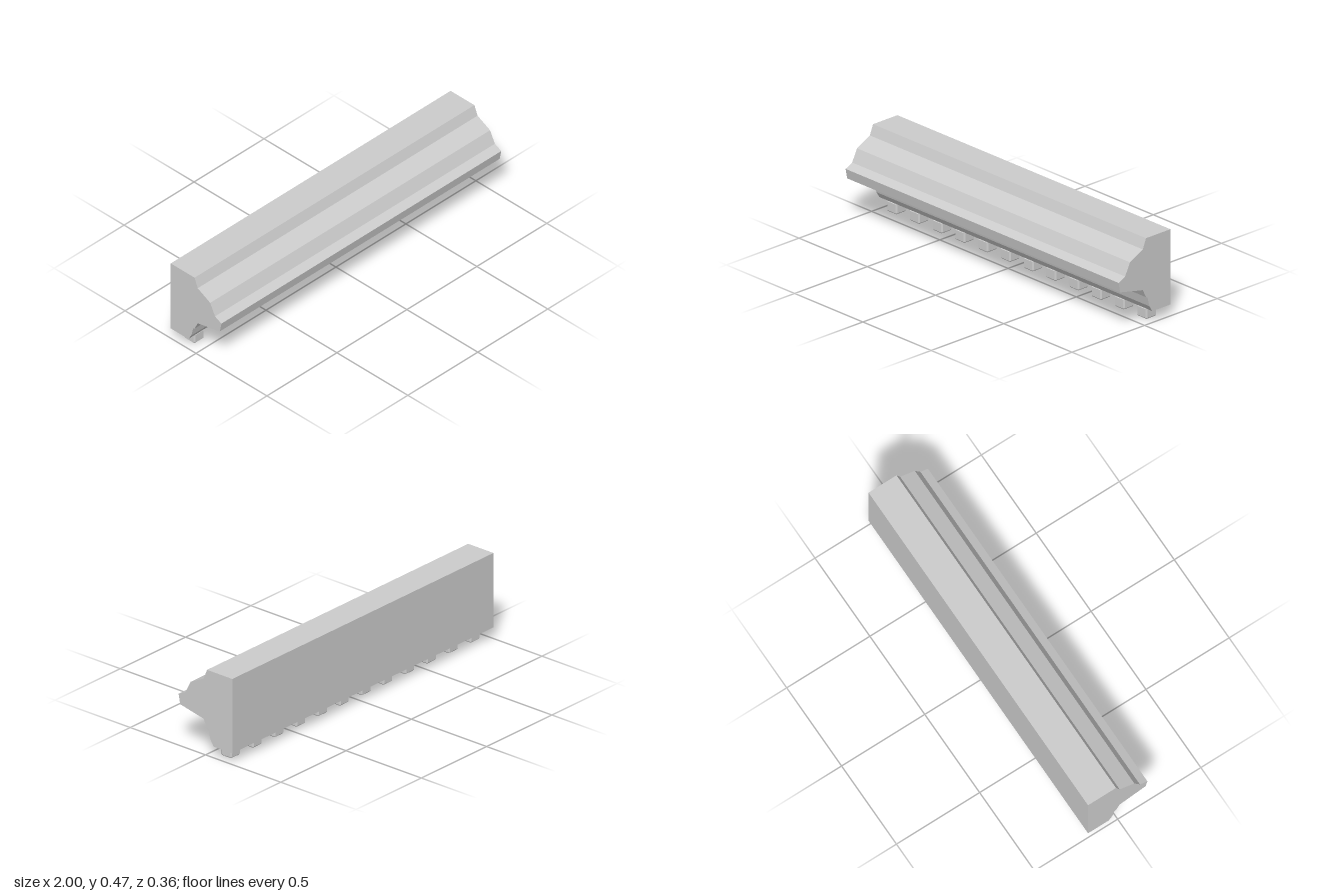
import * as THREE from 'three';
import { ConvexGeometry } from 'three/addons/geometries/ConvexGeometry.js';

const material = new THREE.MeshStandardMaterial({ color: 0xcccccc, flatShading: true });

// Box with every edge and corner chamfered by c
function chamferedBox(w, h, d, c) {
  const points = [];
  for (const sx of [-1, 1]) for (const sy of [-1, 1]) for (const sz of [-1, 1]) {
    for (let axis = 0; axis < 3; axis++) {
      const p = [w / 2, h / 2, d / 2].map((v, i) => (i === axis ? v : v - c));
      points.push(new THREE.Vector3(sx * p[0], sy * p[1], sz * p[2]));
    }
  }
  return new ConvexGeometry(points);
}

export function createModel() {
  const group = new THREE.Group();

  // Moulding cross-section as (z, y), swept along x
  const profile = [
    [-0.178, 0.062], [-0.054, 0.062], [-0.033, 0.095], [-0.02, 0.147], [-0.01, 0.151],
    [0.012, 0.196], [0.168, 0.229], [0.179, 0.284], [0.134, 0.306], [0.1, 0.373],
    [0.012, 0.418], [-0.01, 0.473], [-0.178, 0.473],
  ];
  const shape = new THREE.Shape(profile.map(([z, y]) => new THREE.Vector2(z, y)));
  const mouldingGeometry = new THREE.ExtrudeGeometry(shape, { depth: 2, bevelEnabled: false });
  mouldingGeometry.translate(0, 0, -1).rotateY(-Math.PI / 2);
  const moulding = new THREE.Mesh(mouldingGeometry, material);
  moulding.name = 'corniceMoulding';
  group.add(moulding);

  // Row of dentil blocks hanging beneath the moulding
  const dentils = new THREE.Group();
  dentils.name = 'dentils';
  const blockGeometry = chamferedBox(0.073, 0.062, 0.073, 0.007);
  const count = 12;
  for (let i = 0; i < count; i++) {
    const block = new THREE.Mesh(blockGeometry, material);
    block.name = 'dentilBlock';
    block.position.set(-1 + (i + 0.5) * (2 / count), 0.031, -0.094);
    dentils.add(block);
  }
  group.add(dentils);

  return group;
}
